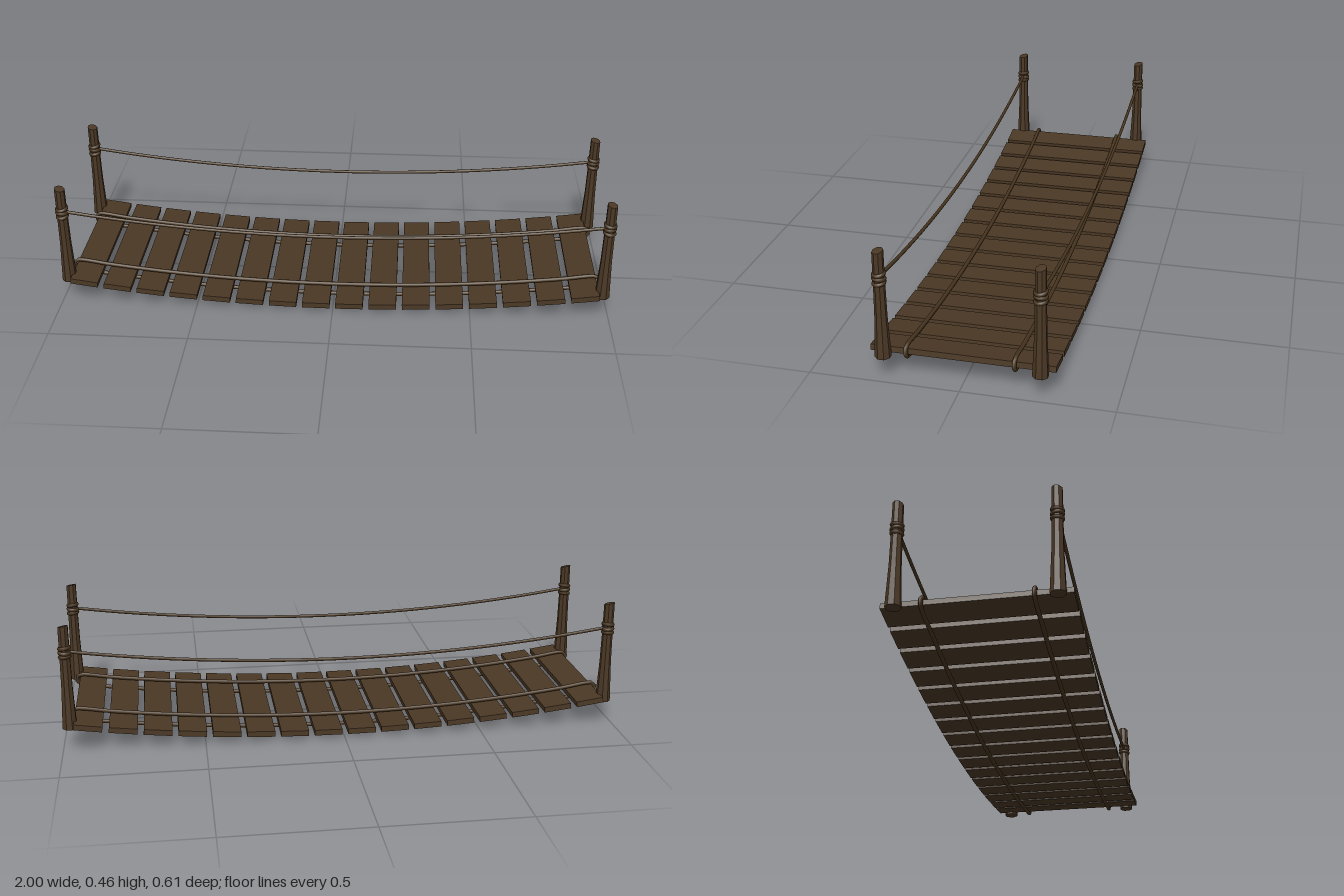
import * as THREE from 'three';

const wood = new THREE.MeshStandardMaterial({ color: 0x4b3825, flatShading: true });
const rope = new THREE.MeshStandardMaterial({ color: 0x48351f });

const SAG = 0.077;
const deckY = (x) => 0.028 + SAG * x * x;
const POST_X = 0.973, POST_Z = 0.256;

function add(parent, name, geometry, material) {
  const mesh = new THREE.Mesh(geometry, material);
  mesh.name = name;
  parent.add(mesh);
  return mesh;
}

// Eight-sided post, flared at the foot, with a slanted cut on top
function postGeometry() {
  const profile = [[0, 0.08], [0.027, 0.08], [0.0235, 0.16], [0.0205, 0.23], [0.019, 0.34], [0.0185, 0.455], [0, 0.456]]
    .map(([r, y]) => new THREE.Vector2(r, y));
  const geo = new THREE.LatheGeometry(profile, 8, Math.PI / 8);
  const p = geo.attributes.position;
  for (let i = 0; i < p.count; i++) {
    if (p.getY(i) > 0.45) p.setY(i, p.getY(i) - p.getX(i) * 0.2 - p.getZ(i) * 0.16);
  }
  geo.computeVertexNormals();
  return geo;
}

// Closed rope running above and below the planks and round both deck ends
function deckRopeGeometry(z) {
  const points = [];
  const end = 0.955, n = 16;
  for (const side of [1, -1]) {
    for (let i = 0; i <= n; i++) {
      const x = side * (-end + (2 * end * i) / n);
      points.push(new THREE.Vector3(x, deckY(x) + side * 0.02, z));
    }
    // bend round the end
    points.push(new THREE.Vector3(side * 0.968, deckY(0.968) + side * 0.012, z));
    points.push(new THREE.Vector3(side * 0.968, deckY(0.968) - side * 0.012, z));
  }
  const curve = new THREE.CatmullRomCurve3(points, true, 'centripetal');
  return new THREE.TubeGeometry(curve, 180, 0.0075, 8, true);
}

export function createModel() {
  const model = new THREE.Group();
  model.name = 'ropeBridge';

  // Planks following the sag
  const planks = new THREE.Group();
  planks.name = 'planks';
  model.add(planks);
  const plankGeo = new THREE.BoxGeometry(0.1, 0.02, 0.606);
  const count = 16;
  for (let i = 0; i < count; i++) {
    const x = -0.909 + (1.818 * i) / (count - 1);
    const plank = add(planks, 'plank', plankGeo, wood);
    plank.position.set(x, deckY(x), 0);
    plank.rotation.z = Math.atan(2 * SAG * x);
  }

  // Ropes binding the planks
  for (const z of [0.182, -0.171]) add(model, 'deckRope', deckRopeGeometry(z), rope);

  // Posts with rope wraps
  const postGeo = postGeometry();
  const wrapGeo = new THREE.TorusGeometry(0.0165, 0.0075, 8, 20).rotateX(Math.PI / 2);
  for (const sx of [-1, 1]) {
    for (const sz of [-1, 1]) {
      const corner = new THREE.Group();
      corner.name = 'cornerPost';
      corner.position.set(sx * POST_X, 0, sz * POST_Z);
      model.add(corner);
      add(corner, 'post', postGeo, wood);
      [[0.345, 0.12], [0.36, -0.06], [0.376, 0.15]].forEach(([y, tilt]) => {
        const wrap = add(corner, 'ropeWrap', wrapGeo, rope);
        wrap.position.y = y;
        wrap.rotation.set(tilt, 0, -tilt * sx);
      });
    }
  }

  // Sagging handrail ropes
  for (const sz of [-1, 1]) {
    const points = [];
    for (let i = 0; i <= 12; i++) {
      const x = POST_X * (-1 + i / 6);
      points.push(new THREE.Vector3(x, 0.291 + 0.077 * x * x, sz * POST_Z));
    }
    const curve = new THREE.CatmullRomCurve3(points);
    add(model, 'handrailRope', new THREE.TubeGeometry(curve, 64, 0.006, 8), rope);
  }

  return model;
}
